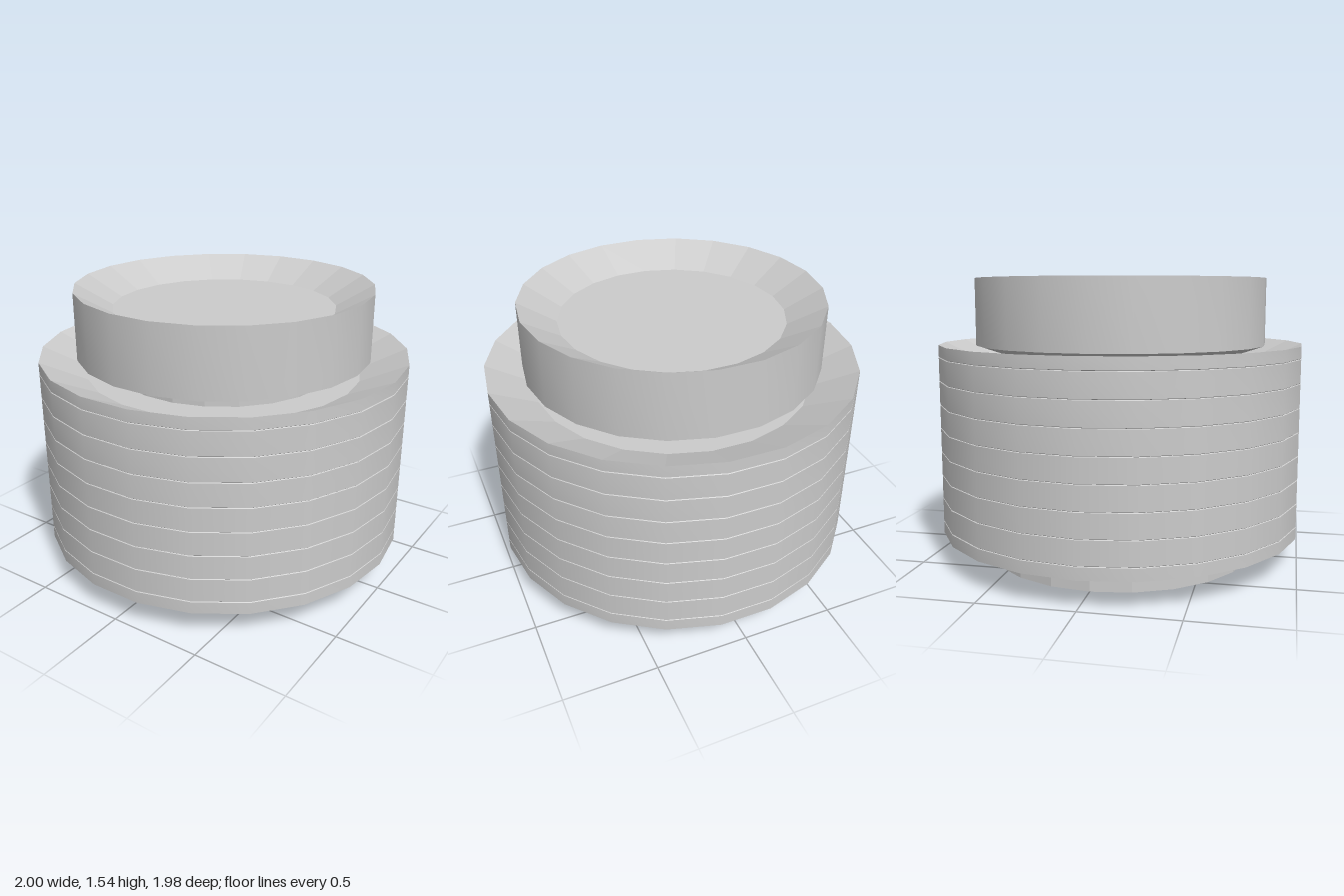
import * as THREE from 'three';
import { toCreasedNormals } from 'three/addons/utils/BufferGeometryUtils.js';

const SIDES = 22;
const smooth = new THREE.MeshStandardMaterial({ color: 0xcccccc });
const faceted = new THREE.MeshStandardMaterial({ color: 0xcccccc, flatShading: true });

// Turn a [radius, height] profile, listed from bottom to top of the outside
function turned(name, profile, material) {
  const points = profile.map(([r, y]) => new THREE.Vector2(r, y));
  let geometry = new THREE.LatheGeometry(points, SIDES, Math.PI / 2);
  if (material === smooth) geometry = toCreasedNormals(geometry, 0.35);
  const mesh = new THREE.Mesh(geometry, material);
  mesh.name = name;
  return mesh;
}

// A drum: foot and chamfer below, plain or grooved wall, dished top
function drum(name, d) {
  const group = new THREE.Group();
  group.name = name;
  const wall = [[d.radius, d.wallBottom]];
  for (const y of d.grooves) {
    wall.push([d.radius, y - 0.003], [d.radius - 0.004, y], [d.radius, y + 0.003]);
  }
  wall.push([d.radius, d.top]);
  group.add(
    turned(name + 'Foot', [
      [0, d.bottom], [d.footRadius, d.bottom], [d.footRadius, d.footTop], [d.radius, d.wallBottom],
    ], faceted),
    turned(name + 'Wall', wall, smooth),
    turned(name + 'Dish', [
      [d.radius, d.top], [d.floorRadius, d.floor], [0, d.floor],
    ], faceted),
  );
  return group;
}

export function createModel() {
  const model = new THREE.Group();
  model.name = 'groovedDrum';

  // Wide body with eight evenly spaced hairline grooves
  const grooves = Array.from({ length: 8 }, (_, i) => 0.217 + i * 0.129);
  model.add(drum('body', {
    radius: 1, footRadius: 0.74, floorRadius: 0.75,
    bottom: 0, footTop: 0.06, wallBottom: 0.15, top: 1.185, floor: 1.07, grooves,
  }));

  // Narrower cap standing in the dish of the body
  model.add(drum('cap', {
    radius: 0.8, footRadius: 0.59, floorRadius: 0.6,
    bottom: 1.07, footTop: 1.11, wallBottom: 1.18, top: 1.54, floor: 1.425, grooves: [],
  }));
  return model;
}
